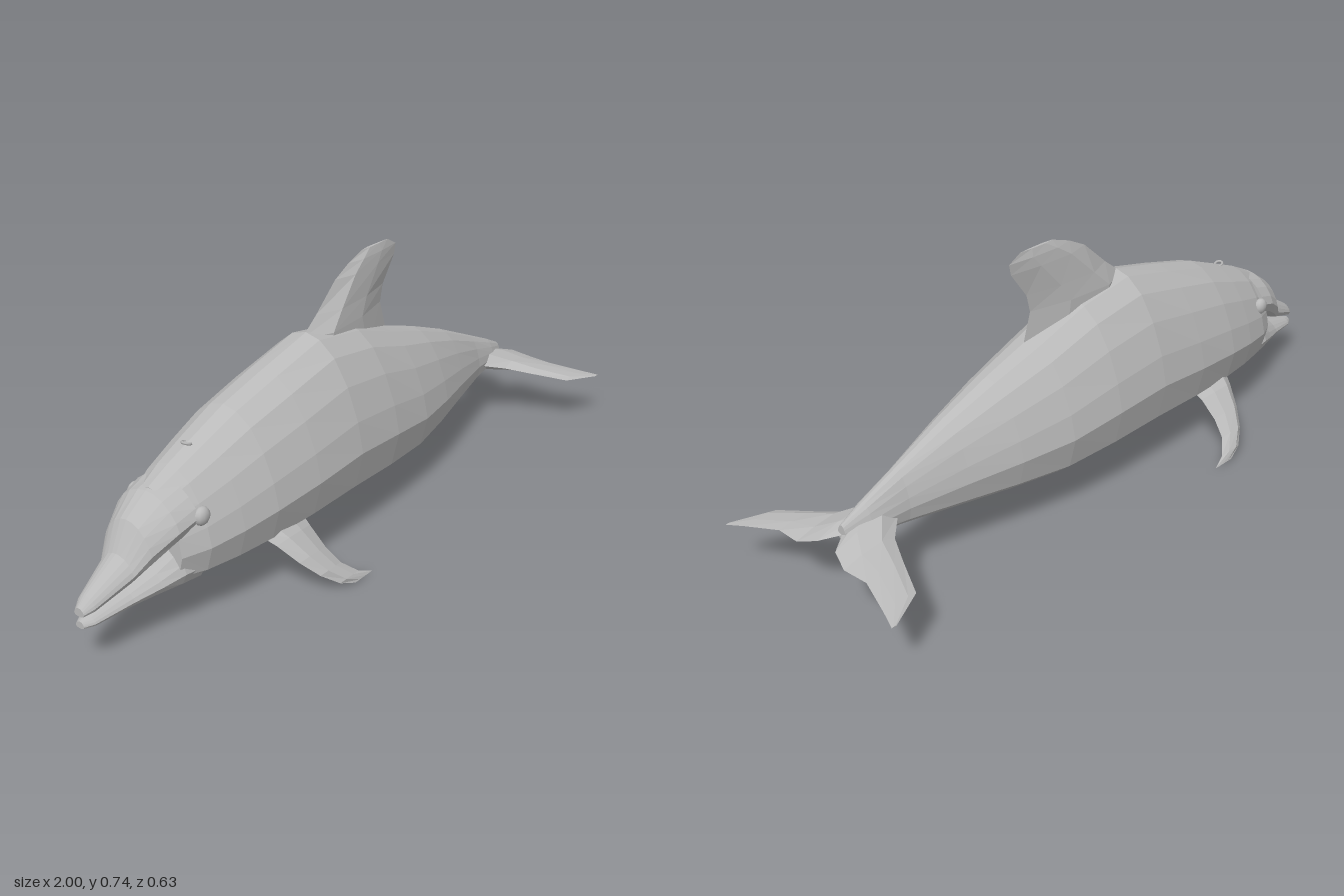
import * as THREE from 'three';

const skin = new THREE.MeshStandardMaterial({ color: 0xbababa });
skin.name = 'grey skin';

// Skin a closed surface over rings of points, capped, facing outward, with faceted normals
function loft(name, rings) {
  const n = rings[0].length, tris = [];
  const quad = (a, b, c, d) => tris.push([a, b, c], [a, c, d]);
  for (let i = 0; i < rings.length - 1; i++) {
    for (let j = 0; j < n; j++) {
      const k = (j + 1) % n;
      quad(rings[i][j], rings[i][k], rings[i + 1][k], rings[i + 1][j]);
    }
  }
  const last = rings[rings.length - 1];
  for (let j = 1; j < n - 1; j++) {
    tris.push([rings[0][0], rings[0][j + 1], rings[0][j]]);
    tris.push([last[0], last[j], last[j + 1]]);
  }
  const centre = rings[0][0];
  let volume = 0;
  for (const [a, b, c] of tris) {
    const [p, q, r] = [a, b, c].map(v => v.clone().sub(centre));
    volume += p.dot(q.cross(r));
  }
  const points = tris.flatMap(([a, b, c]) => (volume < 0 ? [a, c, b] : [a, b, c]));
  const geometry = new THREE.BufferGeometry().setFromPoints(points);
  geometry.computeVertexNormals();
  const mesh = new THREE.Mesh(geometry, skin);
  mesh.name = name;
  return mesh;
}

// Half cross-section: [width fraction, height fraction], from back to belly
const half = [[0, 1], [0.24, 0.975], [0.5, 0.89], [0.73, 0.74], [0.91, 0.55],
  [1, 0.37], [0.87, 0.15], [0.6, 0.06], [0, 0]];
const outline = [...half, ...half.slice(1, -1).reverse().map(([w, h]) => [-w, h])];

// Body stations: [x, top, bottom, half width]
const trunk = stations => stations.map(([x, top, bottom, w]) =>
  outline.map(([u, v]) => new THREE.Vector3(x, bottom + v * (top - bottom), u * w)));

// Fin stations: [leading edge, trailing edge, half thickness vector]
const section = [[0, 0], [0.25, 1], [0.65, 0.75], [1, 0], [0.65, -0.75], [0.25, -1]];
const fin = stations => stations.map(([lead, trail, thick]) =>
  section.map(([u, t]) => new THREE.Vector3(...lead)
    .lerp(new THREE.Vector3(...trail), u)
    .addScaledVector(new THREE.Vector3(...thick), t)));

export function createModel() {
  const model = new THREE.Group();
  model.name = 'dolphin';

  model.add(loft('body', trunk([
    [-0.75, 0.378, 0.118, 0.1], [-0.68, 0.412, 0.112, 0.135], [-0.58, 0.452, 0.106, 0.158],
    [-0.47, 0.495, 0.103, 0.176], [-0.31, 0.537, 0.1, 0.187], [-0.13, 0.58, 0.098, 0.19],
    [0.05, 0.55, 0.095, 0.184], [0.22, 0.49, 0.097, 0.167], [0.38, 0.438, 0.113, 0.133],
    [0.535, 0.38, 0.131, 0.092], [0.7, 0.308, 0.152, 0.05], [0.81, 0.26, 0.168, 0.035],
    [0.88, 0.226, 0.185, 0.015],
  ])));

  // Beak, slightly open along the mouth line
  model.add(loft('upperJaw', trunk([
    [-1, 0.165, 0.142, 0.016], [-0.975, 0.188, 0.146, 0.03], [-0.87, 0.25, 0.178, 0.056],
    [-0.83, 0.325, 0.2, 0.078], [-0.76, 0.373, 0.24, 0.106], [-0.7, 0.39, 0.26, 0.115],
  ])));
  model.add(loft('lowerJaw', trunk([
    [-1, 0.129, 0.11, 0.014], [-0.975, 0.137, 0.109, 0.028], [-0.87, 0.168, 0.116, 0.054],
    [-0.8, 0.203, 0.119, 0.08], [-0.74, 0.25, 0.117, 0.103], [-0.68, 0.25, 0.114, 0.11],
  ])));

  // Dorsal fin: [y, leading x, trailing x, half thickness]
  model.add(loft('dorsalFin', fin([
    [0.45, -0.15, 0.25, 0.045], [0.565, -0.15, 0.213, 0.04], [0.615, -0.085, 0.225, 0.03],
    [0.69, 0, 0.28, 0.018], [0.72, 0.06, 0.286, 0.012], [0.742, 0.125, 0.245, 0.004],
  ].map(([y, a, b, t]) => [[a, y, 0], [b, y, 0], [0, 0, t]]))));

  for (const [side, s] of [['left', -1], ['right', 1]]) {
    // Flukes: [z, y, leading x, trailing x, half thickness]
    model.add(loft(side + 'Fluke', fin([
      [0, 0.208, 0.72, 0.88, 0.03], [0.035, 0.2, 0.73, 0.93, 0.026],
      [0.09, 0.184, 0.79, 0.95, 0.016], [0.165, 0.171, 0.83, 0.945, 0.009],
      [0.265, 0.156, 0.88, 0.98, 0.005], [0.315, 0.148, 0.985, 1, 0.001],
    ].map(([z, y, a, b, t]) => [[a, y, s * z], [b, y - 0.01 * (z < 0.1), s * z], [0, t, 0]]))));

    // Pectoral flippers, swept back and down
    model.add(loft(side + 'Flipper', fin([
      [0.11, 0.18, -0.5, -0.32, 0.022], [0.165, 0.142, -0.47, -0.332, 0.02],
      [0.215, 0.095, -0.44, -0.332, 0.017], [0.255, 0.055, -0.405, -0.318, 0.013],
      [0.285, 0.022, -0.36, -0.28, 0.008], [0.297, 0.004, -0.31, -0.235, 0.002],
    ].map(([z, y, a, b, t]) => [[a, y, s * z], [b, y, s * z], [0, t * 0.7, s * t * 0.7]]))));

    const eye = new THREE.Mesh(new THREE.SphereGeometry(0.025, 10, 8), skin);
    eye.name = side + 'Eye';
    eye.scale.z = 0.7;
    eye.position.set(-0.685, 0.307, s * 0.11);
    model.add(eye);
  }

  const blowhole = new THREE.Mesh(new THREE.TorusGeometry(0.012, 0.004, 5, 10), skin);
  blowhole.name = 'blowhole';
  blowhole.rotation.set(Math.PI / 2, -0.38, 0);
  blowhole.position.set(-0.61, 0.441, 0);
  model.add(blowhole);

  return model;
}
